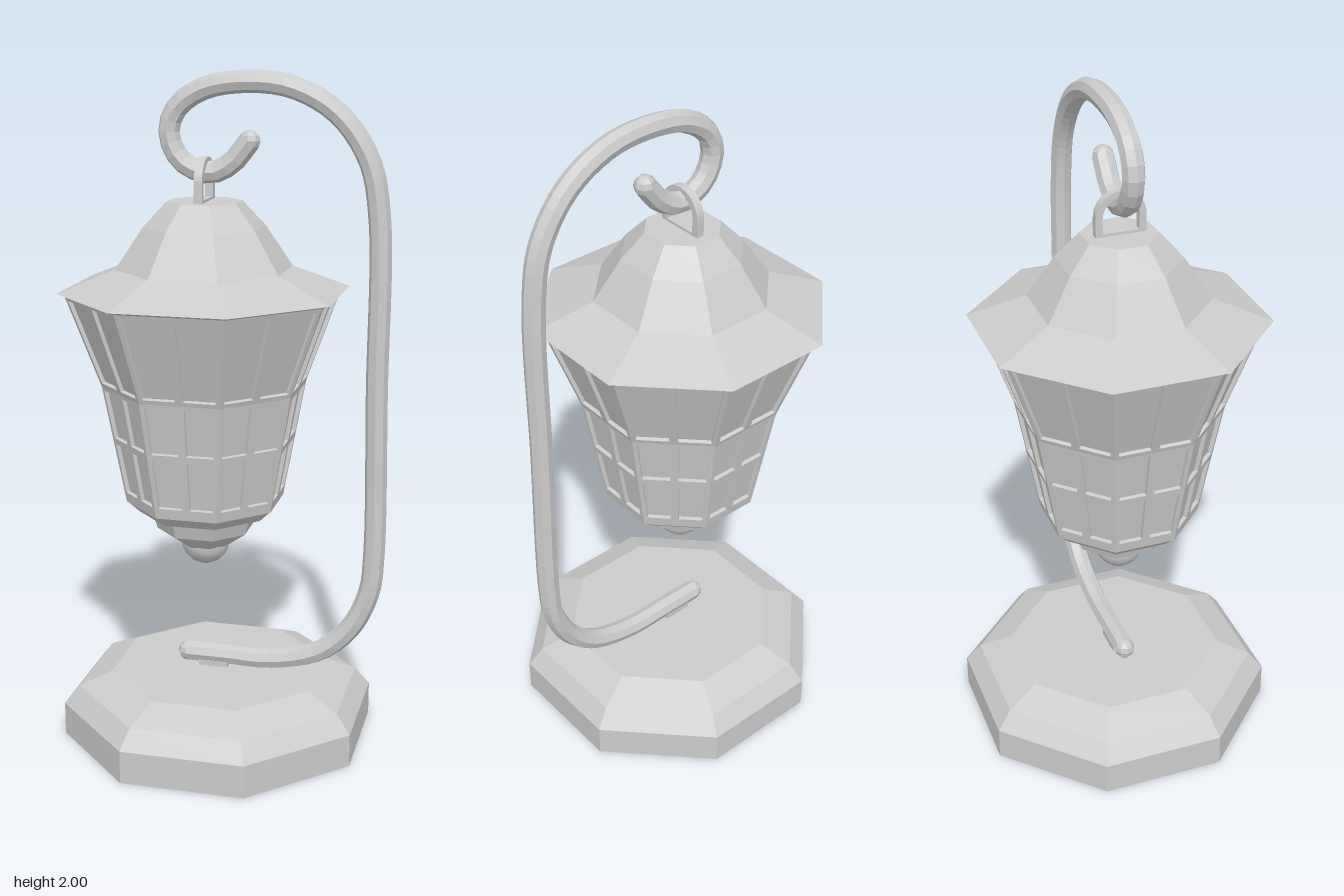
import * as THREE from 'three';

const material = new THREE.MeshStandardMaterial({ color: 0xcccccc, flatShading: true, side: THREE.DoubleSide });
const smooth = new THREE.MeshStandardMaterial({ color: 0xcccccc });
const V = (x, y, z = 0) => new THREE.Vector3(x, y, z);

function add(parent, name, geometry, mat = material) {
  const mesh = new THREE.Mesh(geometry, mat);
  mesh.name = name;
  parent.add(mesh);
  return mesh;
}

// Eight-sided turned solid; profile points are [distance to flat side, y], from bottom to top
function octagon(profile) {
  const k = 1 / Math.cos(Math.PI / 8);
  const points = profile.map(([a, y]) => new THREE.Vector2(a * k, y));
  return new THREE.LatheGeometry(points, 8, Math.PI / 8);
}

// Window frame for one sloping face: two columns of panes, rows given as [from, to] heights
function windowFrame(a0, y0, a1, y1, rows) {
  const length = Math.hypot(a1 - a0, y1 - y0);
  const t = Math.tan(Math.PI / 8);
  const half = (s) => t * (a0 + (a1 - a0) * s / length);
  const toSlope = (y) => (y - y0) / (y1 - y0) * length;
  const polygon = (pts) => pts.map(([x, y]) => new THREE.Vector2(x, y));
  const shape = new THREE.Shape(polygon([[-half(0), 0], [half(0), 0], [half(length), length], [-half(length), length]]));
  for (const [low, high] of rows) {
    const s0 = toSlope(low), s1 = toSlope(high);
    for (const side of [-1, 1]) {
      shape.holes.push(new THREE.Path(polygon([
        [side * 0.012, s0], [side * (half(s0) - 0.013), s0],
        [side * (half(s1) - 0.013), s1], [side * 0.012, s1],
      ])));
    }
  }
  const geometry = new THREE.ExtrudeGeometry(shape, { depth: 0.012, bevelEnabled: false });
  geometry.translate(0, 0, -0.012);
  geometry.rotateX(Math.atan2(a1 - a0, y1 - y0));
  geometry.translate(0, y0, a0);
  return geometry;
}

export function createModel() {
  const model = new THREE.Group();
  model.name = 'hangingLantern';

  // Base
  const base = add(model, 'base', octagon([[0, 0], [0.443, 0], [0.443, 0.1], [0.4, 0.155], [0.305, 0.2], [0, 0.2]]));
  base.position.x = -0.032;
  add(model, 'footPad', new THREE.BoxGeometry(0.09, 0.02, 0.05)).position.set(-0.045, 0.208, 0);

  // Bent stand ending in a hook
  const path = new THREE.CatmullRomCurve3([
    V(-0.13, 0.235), V(0, 0.235), V(0.13, 0.235), V(0.28, 0.275), V(0.375, 0.36), V(0.43, 0.48), V(0.442, 0.6),
    V(0.438, 1.1), V(0.433, 1.6), V(0.4, 1.76), V(0.31, 1.885), V(0.18, 1.955), V(0.04, 1.968), V(-0.08, 1.945),
    V(-0.155, 1.89), V(-0.176, 1.82), V(-0.14, 1.745), V(-0.06, 1.713), V(0.005, 1.74), V(0.06, 1.805),
  ], false, 'centripetal');
  add(model, 'stand', new THREE.TubeGeometry(path, 90, 0.032, 8, false));
  for (const u of [0, 1]) {
    add(model, 'standTip', new THREE.SphereGeometry(0.031, 8, 6)).position.copy(path.getPoint(u));
  }

  // Lantern
  const lantern = new THREE.Group();
  lantern.name = 'lantern';
  lantern.position.x = -0.073;
  model.add(lantern);

  add(lantern, 'roof', octagon([[0.365, 1.362], [0.398, 1.374], [0.24, 1.44], [0.165, 1.56], [0.102, 1.632], [0, 1.632]]));
  add(lantern, 'glass', octagon([[0.208, 0.74], [0.27, 1.095], [0.364, 1.368], [0, 1.368]]));
  add(lantern, 'bottomCup', octagon([
    [0, 0.595], [0.07, 0.6], [0.135, 0.65], [0.15, 0.7], [0.185, 0.705], [0.22, 0.74], [0, 0.742],
  ]));
  const knob = add(lantern, 'knob', new THREE.SphereGeometry(0.074, 16, 10), smooth);
  knob.position.y = 0.607;

  // Window frames, two bands on each of the eight faces
  const lower = windowFrame(0.22, 0.738, 0.282, 1.095, [[0.77, 0.92], [0.94, 1.085]]);
  const upper = windowFrame(0.282, 1.095, 0.376, 1.368, [[1.108, 1.355]]);
  for (let i = 0; i < 8; i++) {
    for (const [name, geometry] of [['lowerWindowFrame', lower], ['upperWindowFrame', upper]]) {
      add(lantern, name, geometry).rotation.y = i * Math.PI / 4;
    }
  }

  // Hanging loop: arch with straight legs, cut from flat stock
  const arch = (shape, r, foot) => {
    shape.moveTo(r, foot);
    shape.lineTo(r, 1.685);
    shape.absarc(0, 1.685, r, 0, Math.PI, false);
    shape.lineTo(-r, foot);
    shape.closePath();
    return shape;
  };
  const outline = arch(new THREE.Shape(), 0.073, 1.62);
  outline.holes.push(arch(new THREE.Path(), 0.053, 1.64));
  const loop = new THREE.ExtrudeGeometry(outline, { depth: 0.024, bevelEnabled: false, curveSegments: 10 });
  loop.translate(0, 0, -0.012);
  loop.rotateY(Math.PI / 2);
  add(lantern, 'hangingLoop', loop);

  return model;
}
